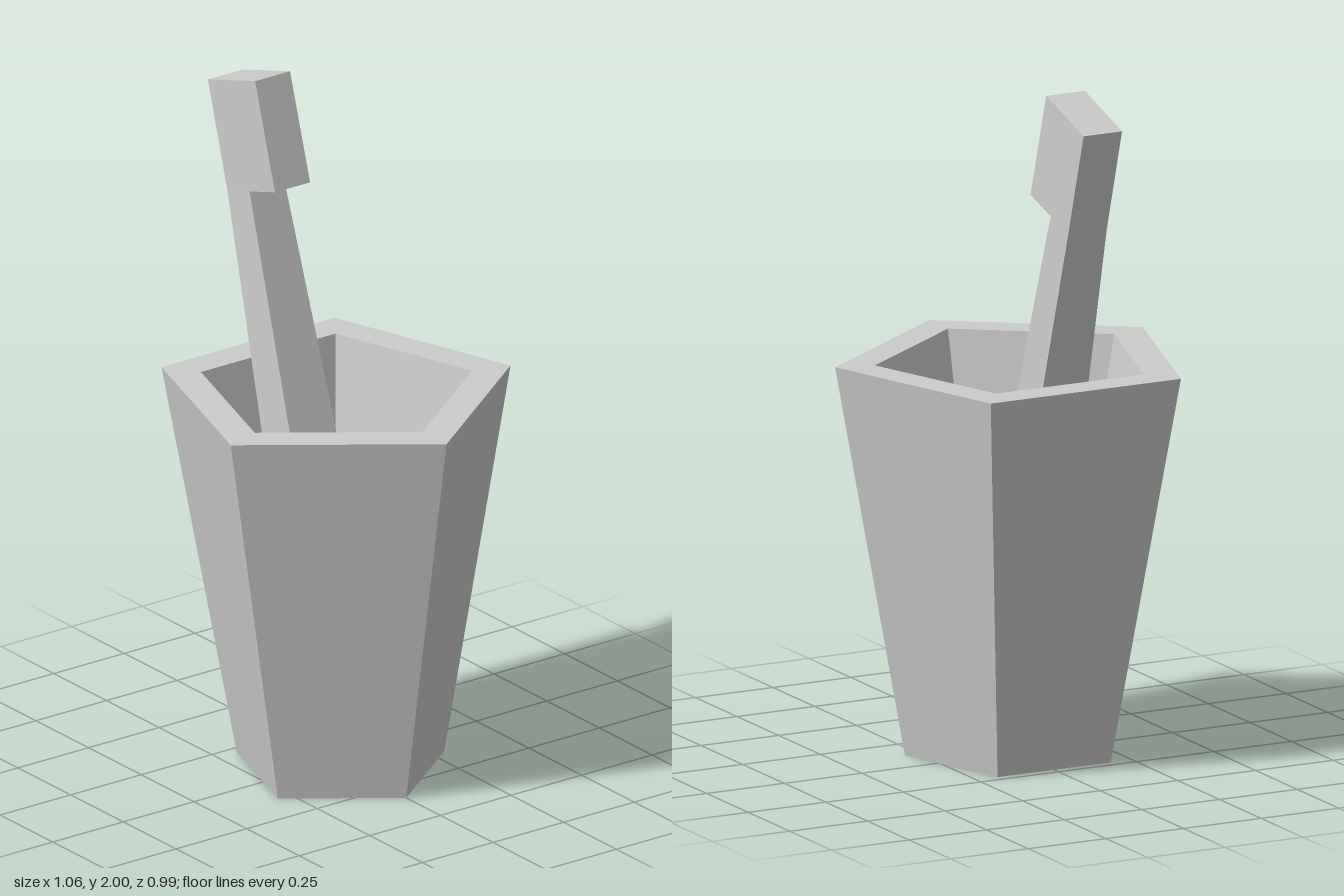
import * as THREE from 'three';

const material = new THREE.MeshStandardMaterial({ color: 0xcccccc, flatShading: true });

// Joins a series of rings (counterclockwise from above) into a skin, capping both ends.
function loft(name, rings) {
  const n = rings[0].length;
  const positions = [];
  const tri = (...corners) => corners.forEach((p) => positions.push(...p));
  for (let i = 0; i < rings.length - 1; i++) {
    for (let j = 0; j < n; j++) {
      const k = (j + 1) % n;
      const [a, b, c, d] = [rings[i][j], rings[i][k], rings[i + 1][k], rings[i + 1][j]];
      tri(a, b, c);
      tri(a, c, d);
    }
  }
  const first = rings[0];
  const last = rings[rings.length - 1];
  for (let j = 1; j < n - 1; j++) {
    tri(first[0], first[j + 1], first[j]);
    tri(last[0], last[j], last[j + 1]);
  }
  const geometry = new THREE.BufferGeometry();
  geometry.setAttribute('position', new THREE.Float32BufferAttribute(positions, 3));
  geometry.computeVertexNormals();
  const mesh = new THREE.Mesh(geometry, material);
  mesh.name = name;
  return mesh;
}

// Horizontal five-sided ring with one corner pointing to +x.
function pentagon(radius, y, centreX) {
  return Array.from({ length: 5 }, (_, i) => {
    const a = (i / 5) * Math.PI * 2;
    return [centreX + radius * Math.cos(a), y, -radius * Math.sin(a)];
  });
}

// Tilted rectangular section between two points of the brush silhouette.
function section([x0, y0], [x1, y1], halfDepth) {
  const z = -0.01;
  return [
    [x0, y0, z + halfDepth],
    [x1, y1, z + halfDepth],
    [x1, y1, z - halfDepth],
    [x0, y0, z - halfDepth],
  ];
}

export function createModel() {
  const group = new THREE.Group();
  group.name = 'brushInCup';

  // Cup: outer wall, flat rim, inner wall and floor
  group.add(loft('cup', [
    pentagon(0.31, 0, 0.028),
    pentagon(0.521, 1.15, 0.008),
    pentagon(0.405, 1.15, 0.01),
    pentagon(0.166, 0.1, 0.01),
  ]));

  // Leaning brush: tapered handle and block-shaped head
  const brush = new THREE.Group();
  brush.name = 'brush';
  brush.add(loft('handle', [
    section([-0.107, 0.4], [0.047, 0.45], 0.0915),
    section([-0.441, 1.62], [-0.336, 1.653], 0.062),
  ]));
  brush.add(loft('brushHead', [
    section([-0.441, 1.62], [-0.215, 1.69], 0.062),
    section([-0.534, 1.931], [-0.31, 2], 0.062),
  ]));
  group.add(brush);

  return group;
}
